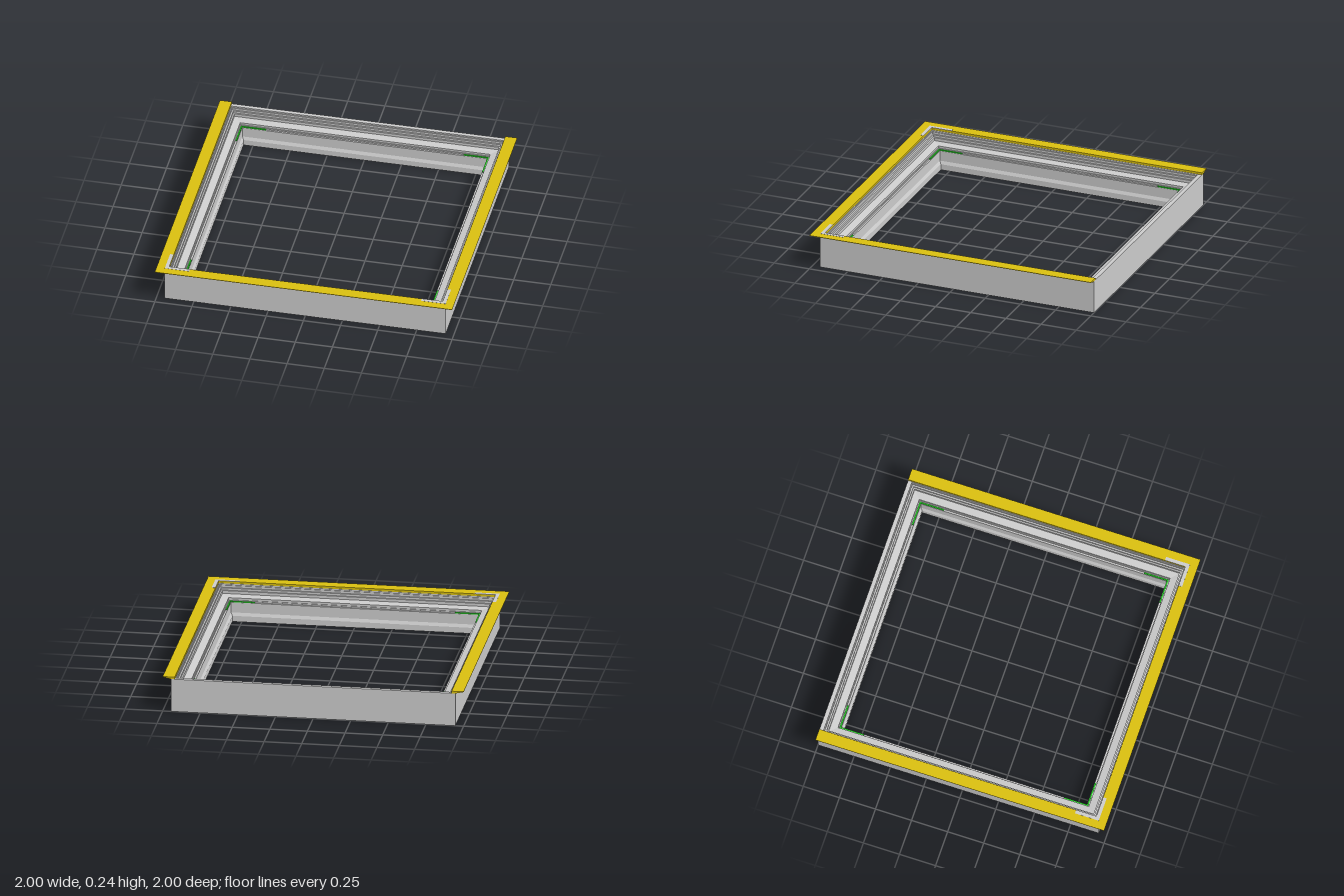
import * as THREE from 'three';

const grey = new THREE.MeshStandardMaterial({ color: 0xcccccc, flatShading: true });
const yellow = new THREE.MeshStandardMaterial({ color: 0xd9bf10, flatShading: true });
const green = new THREE.MeshStandardMaterial({ color: 0x22cc22, flatShading: true });

// Sweep a section of [inset, height] points round mitred corners [x, z, inset dir x, inset dir z].
function sweep(name, section, corners, closed, material) {
  const pos = [];
  const n = section.length;
  const point = (k, i) => {
    const [x, z, ix, iz] = corners[k % corners.length];
    const [d, y] = section[i % n];
    return [x + ix * d, y, z + iz * d];
  };
  const tri = (a, b, c) => pos.push(...a, ...b, ...c);
  const spans = closed ? corners.length : corners.length - 1;
  for (let k = 0; k < spans; k++) {
    for (let i = 0; i < n; i++) {
      const a = point(k, i), b = point(k + 1, i), c = point(k + 1, i + 1), d = point(k, i + 1);
      tri(a, b, c);
      tri(a, c, d);
    }
  }
  // End caps of an open run (convex section)
  if (!closed) {
    for (let i = 1; i < n - 1; i++) {
      tri(point(0, 0), point(0, i), point(0, i + 1));
      tri(point(spans, 0), point(spans, i + 1), point(spans, i));
    }
  }
  const geo = new THREE.BufferGeometry();
  geo.setAttribute('position', new THREE.Float32BufferAttribute(pos, 3));
  geo.computeVertexNormals();
  const mesh = new THREE.Mesh(geo, material);
  mesh.name = name;
  return mesh;
}

// L-shaped corner piece; (x, z) is its outer corner, sx and sz point outwards.
function cornerPiece(name, x, z, sx, sz, arm, width, y, height, material) {
  const g = new THREE.Group();
  g.name = name;
  const add = (w, d) => {
    const m = new THREE.Mesh(new THREE.BoxGeometry(w, height, d), material);
    m.position.set(x - sx * w / 2, y + height / 2, z - sz * d / 2);
    m.name = name + 'Arm';
    g.add(m);
    return m;
  };
  add(arm, width);
  add(width, arm - width).position.z -= sz * width;
  return g;
}

export function createModel() {
  const model = new THREE.Group();
  model.name = 'windowFrame';
  const W = 0.945, BACK = -1, FRONT = 0.945;

  // Frame with stepped rebate, sloped inner sill and a groove underneath
  const frameSection = [
    [0, 0], [0, 0.225], [0.028, 0.225], [0.028, 0.215], [0.034, 0.215], [0.034, 0.2],
    [0.045, 0.2], [0.045, 0.185], [0.055, 0.185], [0.055, 0.165], [0.104, 0.155],
    [0.104, 0.14], [0.11, 0.14], [0.11, 0.13], [0.122, 0.13], [0.122, 0.06],
    [0.133, 0.04], [0.133, 0], [0.09, 0], [0.085, 0.012], [0.06, 0.012], [0.055, 0],
  ];
  model.add(sweep('frame', frameSection, [
    [-W, BACK, 1, 1], [-W, FRONT, 1, -1], [W, FRONT, -1, -1], [W, BACK, -1, 1],
  ], true, grey));

  // Tapered cover flange on the front and both sides
  const flangeSection = [[0.08, 0.225], [0.055, 0.225], [0, 0.237], [0, 0.24], [0.08, 0.24]];
  model.add(sweep('coverFlange', flangeSection, [
    [-1, -1, 1, 0], [-1, 1, 1, -1], [1, 1, -1, -1], [1, -1, -1, 0],
  ], false, yellow));

  for (const s of [-1, 1]) {
    const side = s > 0 ? 'left' : 'right';
    // Angle plates on the two front corners
    model.add(cornerPiece(side + 'AnglePlate', s * W, FRONT, s, 1, 0.165, 0.025, 0.238, 0.003, grey));
    // Corner seals on the inner ledge
    for (const [end, z, sz] of [['Back', BACK + 0.111, -1], ['Front', FRONT - 0.111, 1]]) {
      model.add(cornerPiece(side + end + 'CornerSeal', s * (W - 0.111), z, s, sz,
        0.168, 0.009, 0.129, 0.008, green));
    }
  }
  return model;
}
